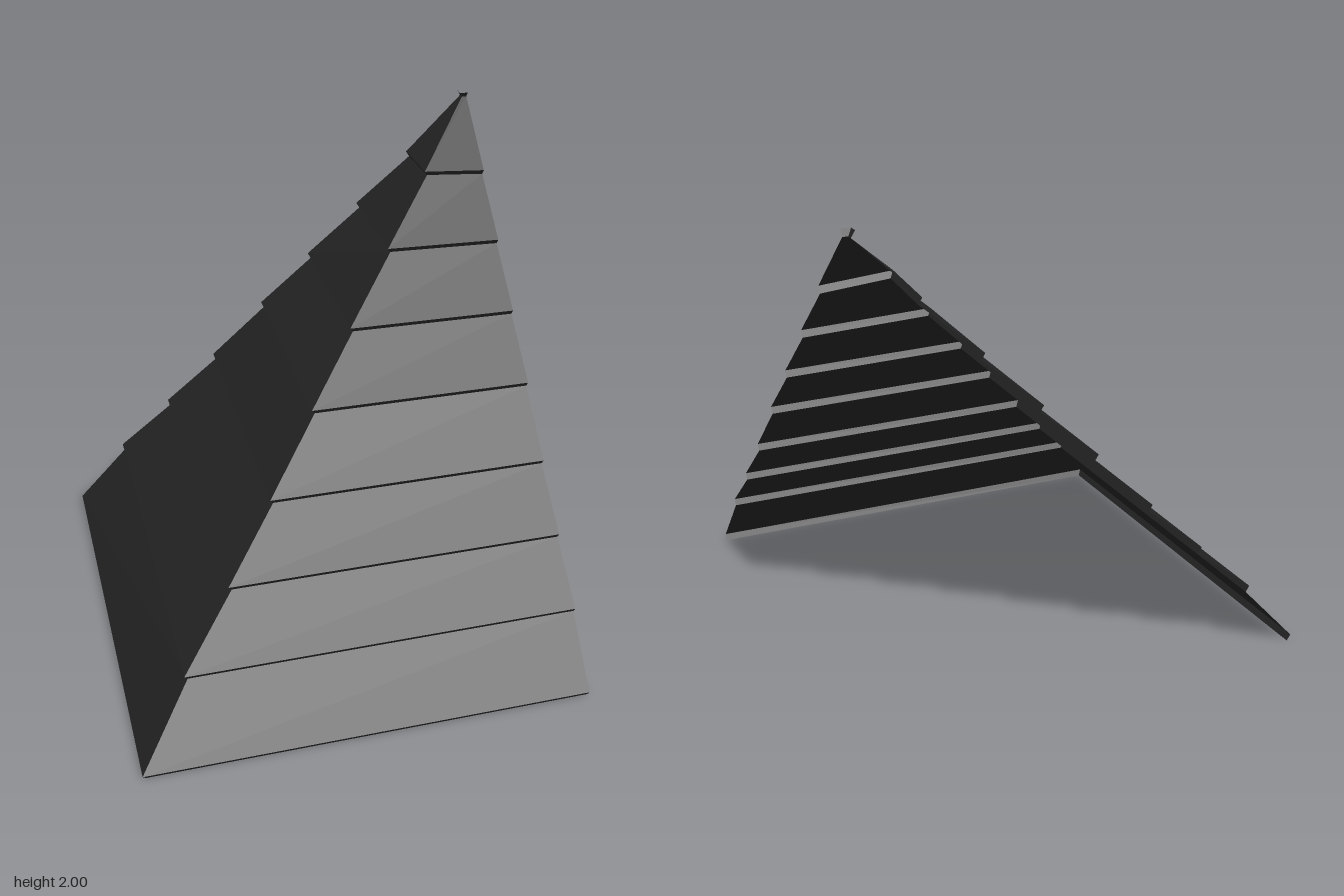
import * as THREE from 'three';

const EDGE_X = 0.97;   // cut end of the front slope
const EDGE_Z = -0.962; // cut end of the side slope

// Outer corner of each course along the hip: x, y, z
const courses = [
  [-0.973, 0.025, 0.985], [-0.747, 0.31, 0.757], [-0.505, 0.54, 0.518],
  [-0.268, 0.775, 0.28], [-0.022, 1.035, 0.036], [0.212, 1.275, -0.202],
  [0.449, 1.515, -0.44], [0.687, 1.755, -0.677], [0.932, 2.0, -0.945],
];

// Rows hold the hip corner and the two outer ends, which sag a little near the top
function makeRow(x, y, z, k) {
  const sag = k === 8 ? 0 : 0.0035 * k;
  return {
    hip: [x, y, z],
    front: [EDGE_X, y - sag, z],
    side: [x, y - sag, k === 8 ? -0.985 : EDGE_Z],
  };
}

// Flat quad strip between two rows
function quad(a, b, c, d) {
  const g = new THREE.BufferGeometry();
  g.setAttribute('position', new THREE.Float32BufferAttribute([a, b, c, a, c, d].flat(), 3));
  g.computeVertexNormals();
  return g;
}

export function createModel() {
  const group = new THREE.Group();
  group.name = 'hipRoofCorner';
  const slate = new THREE.MeshStandardMaterial({ color: 0x242424, side: THREE.DoubleSide });
  slate.name = 'dark slate';

  const add = (name, geometry) => {
    const mesh = new THREE.Mesh(geometry, slate);
    mesh.name = name;
    group.add(mesh);
  };
  const addStrip = (name, lo, hi) => {
    add('front' + name, quad(lo.hip, lo.front, hi.front, hi.hip));
    add('side' + name, quad(lo.side, lo.hip, hi.hip, hi.side));
  };

  const outer = courses.map(([x, y, z], k) => makeRow(x, y, z, k));
  const inner = courses.map(([x, y, z], k) => makeRow(x + 0.016, y - 0.025, z - 0.016, k));

  courses.forEach((_, k) => {
    addStrip('Lip' + k, inner[k], outer[k]);                          // overhanging lip
    if (k < 8) addStrip('Course' + k, outer[k], inner[k + 1]);        // sloping course
  });
  return group;
}
